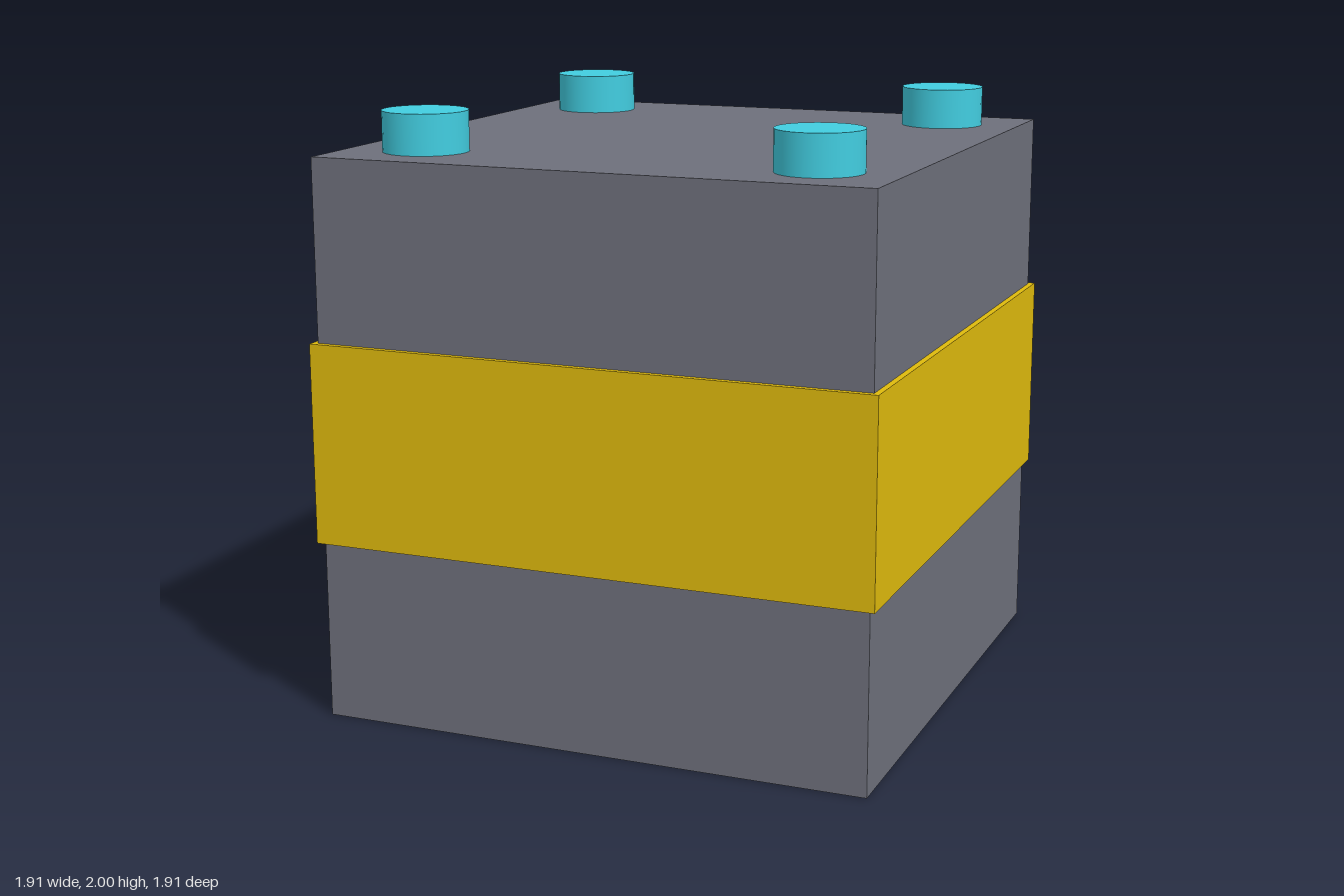
import * as THREE from 'three';

export function createModel() {
  const model = new THREE.Group();
  model.name = 'studdedCrate';

  const grey = new THREE.MeshStandardMaterial({ color: 0x6e707b });
  const yellow = new THREE.MeshStandardMaterial({ color: 0xdfba0d });
  const cyan = new THREE.MeshStandardMaterial({ color: 0x42cde0 });

  function add(name, geometry, material, x, y, z) {
    const mesh = new THREE.Mesh(geometry, material);
    mesh.name = name;
    mesh.position.set(x, y, z);
    model.add(mesh);
  }

  // Main block
  const size = 1.867;
  add('body', new THREE.BoxGeometry(size, size, size), grey, 0, size / 2, 0);

  // Slightly wider band around the middle
  add('band', new THREE.BoxGeometry(1.907, 0.667, 1.907), yellow, 0, 0.933, 0);

  // Round studs near the four top corners
  const studHeight = 2 - size;
  const stud = new THREE.CylinderGeometry(0.14, 0.14, studHeight, 32);
  for (const x of [-0.667, 0.667]) {
    for (const z of [-0.667, 0.667]) {
      const name = (z > 0 ? 'front' : 'back') + (x > 0 ? 'Left' : 'Right') + 'Stud';
      add(name, stud, cyan, x, size + studHeight / 2, z);
    }
  }

  return model;
}
